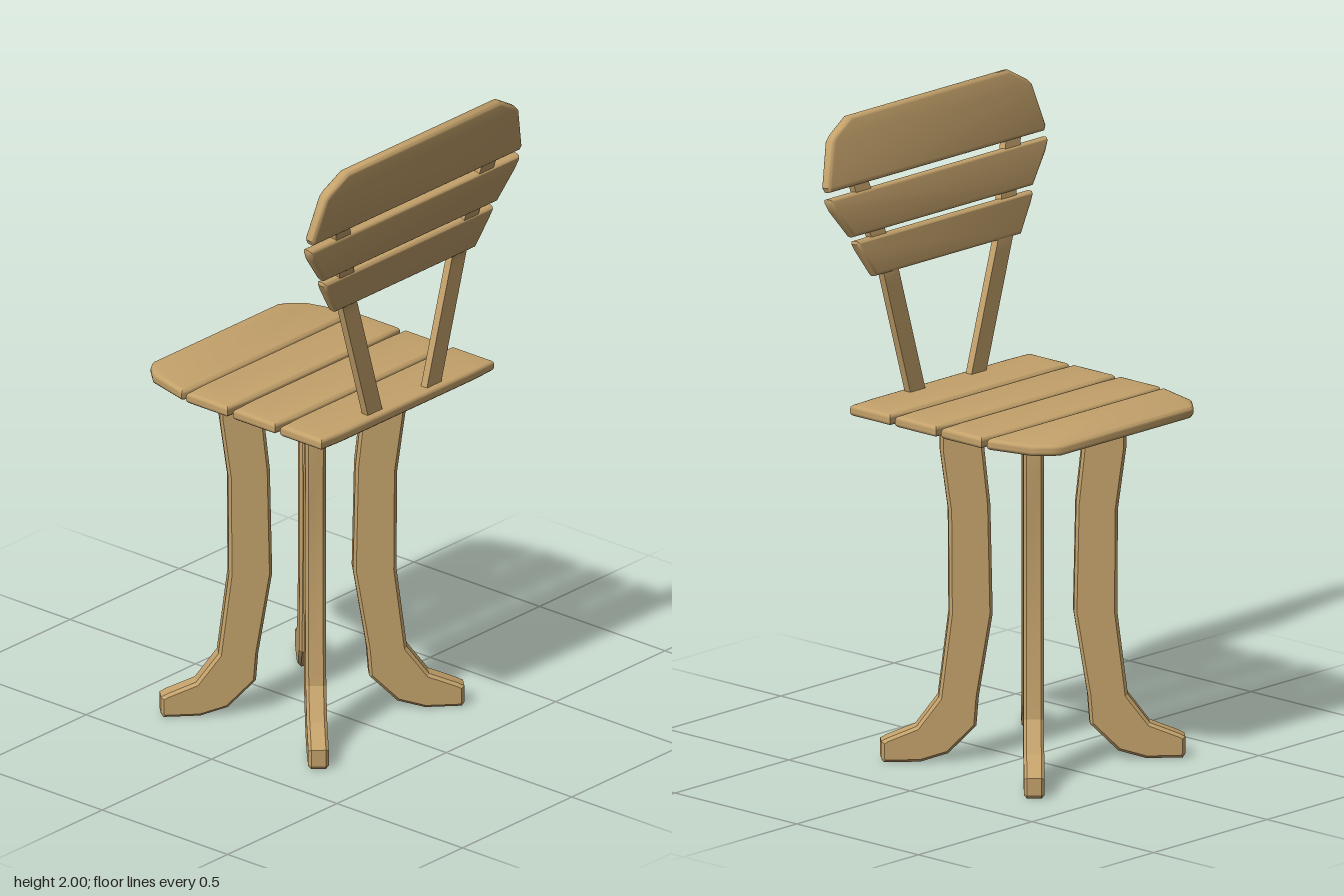
import * as THREE from 'three';
import { toCreasedNormals } from 'three/addons/utils/BufferGeometryUtils.js';

const wood = new THREE.MeshStandardMaterial({ color: 0xc4a26b });

// Board cut from an outline, centred on its thickness, with softened edges
function board(points, thickness, bevel, segments, crease) {
  const shape = new THREE.Shape(points.map(([x, y]) => new THREE.Vector2(x, y)));
  const geometry = new THREE.ExtrudeGeometry(shape, {
    depth: thickness - 2 * bevel,
    bevelEnabled: true,
    bevelThickness: bevel,
    bevelSize: bevel,
    bevelOffset: -bevel,
    bevelSegments: segments,
  });
  geometry.translate(0, 0, -thickness / 2 + bevel);
  return toCreasedNormals(geometry, crease);
}

// Full symmetric outline from its +side points, listed bottom to top
function mirrored(half) {
  return [...half, ...half.map(([x, y]) => [-x, y]).reverse()];
}

function add(parent, name, geometry) {
  const mesh = new THREE.Mesh(geometry, wood);
  mesh.name = name;
  parent.add(mesh);
  return mesh;
}

export function createModel() {
  const chair = new THREE.Group();
  chair.name = 'chair';

  // Seat slats: the first has cut corners, the rest are plain planks
  const seat = new THREE.Group();
  seat.name = 'seat';
  chair.add(seat);
  const plank = (x0, x1) => [
    [x0 + 0.005, -0.395], [x1 - 0.005, -0.395], [x1, -0.3], [x1, 0.3],
    [x1 - 0.005, 0.395], [x0 + 0.005, 0.395], [x0, 0.3], [x0, -0.3],
  ];
  const outlines = [
    [[-0.42, -0.285], [-0.405, -0.31], [-0.36, -0.352], [-0.21, -0.392], [-0.203, -0.375],
      [-0.203, 0.375], [-0.21, 0.392], [-0.36, 0.352], [-0.405, 0.31], [-0.42, 0.285]],
    plank(-0.195, -0.02), plank(-0.008, 0.17), plank(0.18, 0.355),
  ];
  for (const outline of outlines) {
    const slat = add(seat, 'seatSlat', board(outline, 0.036, 0.013, 3, 0.7));
    slat.rotation.x = Math.PI / 2;
    slat.position.set(0, 1.098, 0.004);
  }

  // Legs: one curved, splayed profile turned out to the four diagonals
  const legProfile = [
    [0.34, 0], [0.45, 0], [0.458, 0.012], [0.458, 0.065], [0.44, 0.075], [0.352, 0.11],
    [0.285, 0.2], [0.253, 0.46], [0.255, 0.78], [0.28, 0.97], [0.28, 1.07],
    [0.157, 1.07], [0.129, 0.8], [0.122, 0.46], [0.164, 0.2], [0.171, 0.11], [0.256, 0.025],
  ];
  const legGeometry = board(legProfile, 0.062, 0.009, 1, 0.35);
  for (const sx of [-1, 1]) {
    for (const sz of [-1, 1]) {
      const leg = add(chair, 'leg', legGeometry);
      leg.rotation.y = -Math.atan2(sz * 1.05, sx);
      leg.position.set(-0.02, 0, 0.018);
    }
  }

  // Back posts: splay sideways and lean back from the lowest back slat upward
  for (const side of [-1, 1]) {
    const geometry = new THREE.BoxGeometry(0.024, 0.76, 0.066, 1, 20, 1);
    geometry.translate(0, 1.47, 0);
    const p = geometry.attributes.position;
    for (let i = 0; i < p.count; i++) {
      const y = p.getY(i);
      p.setX(i, p.getX(i) + 0.322 + 0.16 * Math.max(0, y - 1.51));
      p.setZ(i, p.getZ(i) + side * (0.133 + 0.295 * (y - 1.11)));
    }
    geometry.computeVertexNormals();
    add(chair, 'backPost', geometry);
  }

  // Back slats: half outlines about each slat's centre, widening upward
  const backrest = new THREE.Group();
  backrest.name = 'backrest';
  chair.add(backrest);
  const backSlats = [
    { x: 0.33, y: 1.568, tilt: 0.13, half: [[0.32, -0.06], [0.375, 0.025], [0.388, 0.05], [0.385, 0.06]] },
    { x: 0.353, y: 1.706, tilt: 0.15, half: [[0.395, -0.066], [0.465, 0.025], [0.48, 0.055], [0.478, 0.066]] },
    { x: 0.384, y: 1.895, tilt: 0.155, half: [[0.472, -0.106], [0.48, -0.09], [0.442, 0.045], [0.425, 0.062], [0.35, 0.106]] },
  ];
  for (const { x, y, tilt, half } of backSlats) {
    const geometry = board(mirrored(half), 0.036, 0.012, 3, 0.7);
    geometry.rotateY(-Math.PI / 2).rotateZ(-tilt);
    add(backrest, 'backSlat', geometry).position.set(x, y, 0);
  }

  return chair;
}
